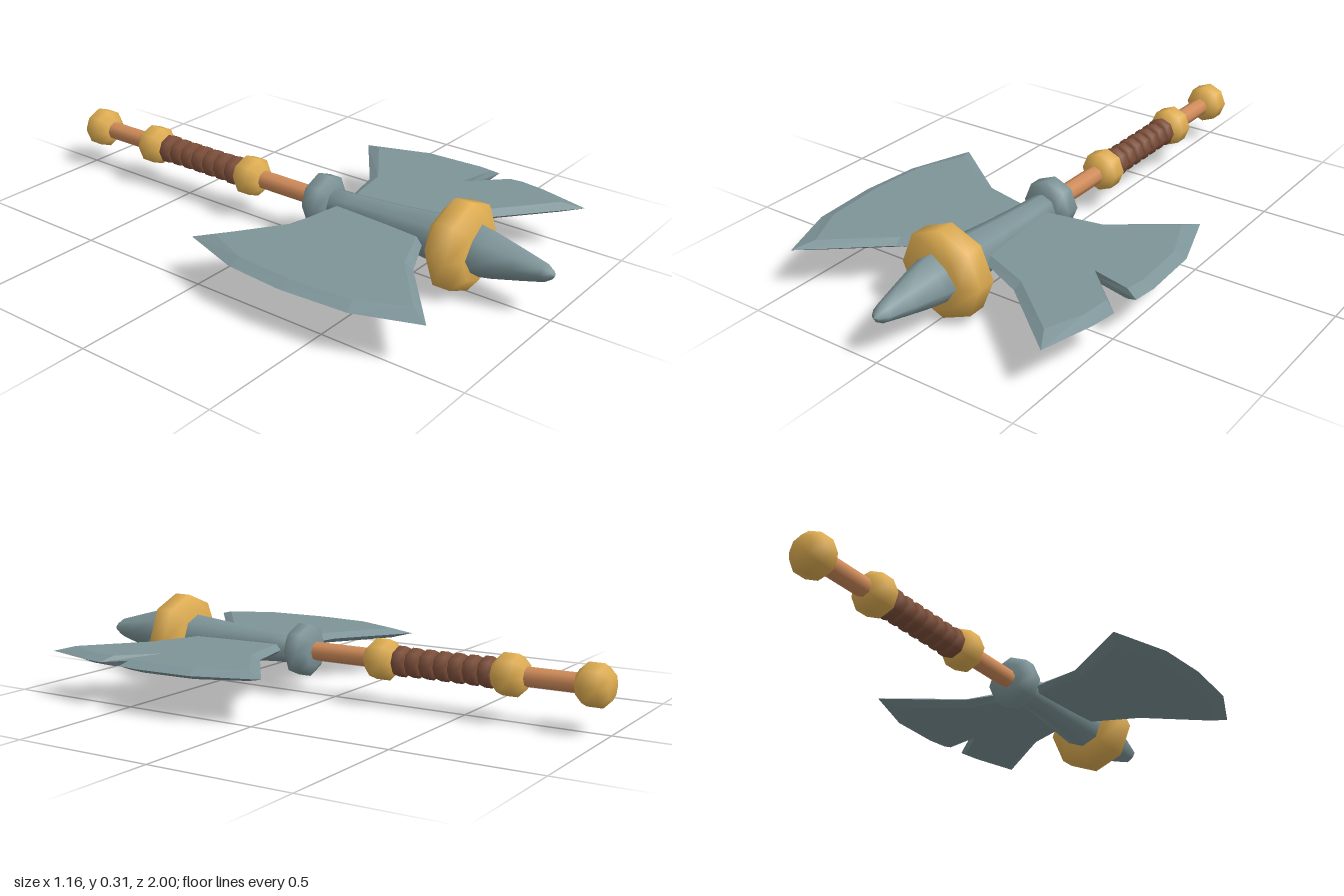
import * as THREE from 'three';

const mat = (name, color) => Object.assign(new THREE.MeshStandardMaterial({ color }), { name });

export function createModel() {
  const steel = mat('steel', 0x7d9498);
  const gold = mat('gold', 0xe0ae52);
  const wood = mat('wood', 0xd08c5a);
  const leather = mat('leather', 0x7d4f3a);

  const model = new THREE.Group();
  const axe = new THREE.Group();
  axe.name = 'axe';
  axe.position.set(0.004, 0.154, 0);
  model.add(axe);

  const add = (name, geometry, material) => {
    const mesh = new THREE.Mesh(geometry, material);
    mesh.name = name;
    axe.add(mesh);
    return mesh;
  };

  // Turned part along z; profile is [radius, z] with z rising
  const turned = (name, profile, material, sides = 8) => {
    const points = profile.map(([r, z]) => new THREE.Vector2(r, z));
    return add(name, new THREE.LatheGeometry(points, sides).rotateX(Math.PI / 2), material);
  };

  // Chamfered ring or knob centred on z
  const knob = (name, z, half, flat, rEnd, r, material) => turned(name,
    [[0, z - half], [rEnd, z - half], [r, z - flat], [r, z + flat], [rEnd, z + half], [0, z + half]], material);

  // Handle
  turned('handle', [[0, -0.95], [0.033, -0.95], [0.033, 0.12], [0, 0.12]], wood);
  knob('pommel', -0.945, 0.055, 0.026, 0.043, 0.071, gold);
  knob('lowerHandleRing', -0.662, 0.056, 0.026, 0.043, 0.071, gold);
  knob('upperHandleRing', -0.194, 0.055, 0.026, 0.043, 0.071, gold);

  // Leather wrapping
  const wraps = 7, pitch = 0.053;
  for (let i = 0; i < wraps; i++) {
    const end = i === 0 || i === wraps - 1;
    knob('gripWrap', -0.427 + (i - 3) * pitch, pitch / 2, 0.014, 0.04, end ? 0.053 : 0.051, leather);
  }

  // Head socket, collar and ring
  knob('collar', 0.126, 0.049, 0.024, 0.058, 0.092, steel);
  turned('socket', [[0, 0.12], [0.052, 0.12], [0.055, 0.25], [0.066, 0.42], [0.083, 0.6], [0.09, 0.66], [0, 0.66]], steel);
  knob('headRing', 0.67, 0.07, 0.032, 0.105, 0.154, gold);

  // Spike with a softened diamond section
  const spike = turned('spike',
    [[0.09, 0.65], [0.096, 0.72], [0.085, 0.78], [0.058, 0.88], [0.034, 0.965], [0.015, 0.992], [0, 1]], steel).geometry;
  const p = spike.attributes.position;
  for (let i = 0; i < p.count; i++) {
    const x = p.getX(i), y = p.getY(i);
    const k = 1 - 0.16 * Math.abs(Math.sin(2 * Math.atan2(y, x)));
    p.setXY(i, x * k, y * k);
  }
  spike.computeVertexNormals();

  // Blade: sharp rim on the middle plane, flat faces above and below.
  // Each row is rim x, rim z, face x, face z.
  const blade = (name, rows, half = 0.018) => {
    if (THREE.ShapeUtils.isClockWise(rows.map(([x, z]) => ({ x, y: z })))) rows = rows.slice().reverse();
    const rim = rows.map(r => [r[0], 0, r[1]]);
    const top = rows.map(r => [r[2], half, r[3]]);
    const low = rows.map(r => [r[2], -half, r[3]]);
    const v = [];
    const inner = rows.map(r => new THREE.Vector2(r[2], r[3]));
    for (const [a, b, c] of THREE.ShapeUtils.triangulateShape(inner, [])) {
      v.push(...top[a], ...top[c], ...top[b], ...low[a], ...low[b], ...low[c]);
    }
    rows.forEach((_, i) => {
      const j = (i + 1) % rows.length;
      v.push(...top[i], ...top[j], ...rim[j], ...top[i], ...rim[j], ...rim[i]);
      v.push(...low[j], ...low[i], ...rim[i], ...low[j], ...rim[i], ...rim[j]);
    });
    const g = new THREE.BufferGeometry();
    g.setAttribute('position', new THREE.Float32BufferAttribute(v, 3));
    g.computeVertexNormals();
    add(name, g, steel);
  };

  const backHalf = [[0, 0.2, 0, 0.22], [0.05, 0.192, 0.05, 0.213], [0.235, 0.15, 0.24, 0.182],
    [0.487, -0.035, 0.455, 0.035], [0.565, 0.19, 0.525, 0.2]];
  const frontHalf = [[0.487, 0.855, 0.448, 0.785], [0.235, 0.645, 0.24, 0.615],
    [0.075, 0.572, 0.08, 0.55], [0, 0.55, 0, 0.53]];
  const whole = [[0.583, 0.4, 0.54, 0.4], [0.568, 0.64, 0.523, 0.625]];
  const notched = [[0.574, 0.4, 0.535, 0.4], [0.564, 0.483, 0.523, 0.468], [0.397, 0.44, 0.387, 0.437],
    [0.55, 0.58, 0.508, 0.556], [0.537, 0.67, 0.498, 0.655]];

  blade('notchedBlade', [...backHalf, ...notched, ...frontHalf]);
  blade('wholeBlade', [...backHalf, ...whole, ...frontHalf].map(([x, z, fx, fz]) => [-x, z, -fx, fz]));

  return model;
}
